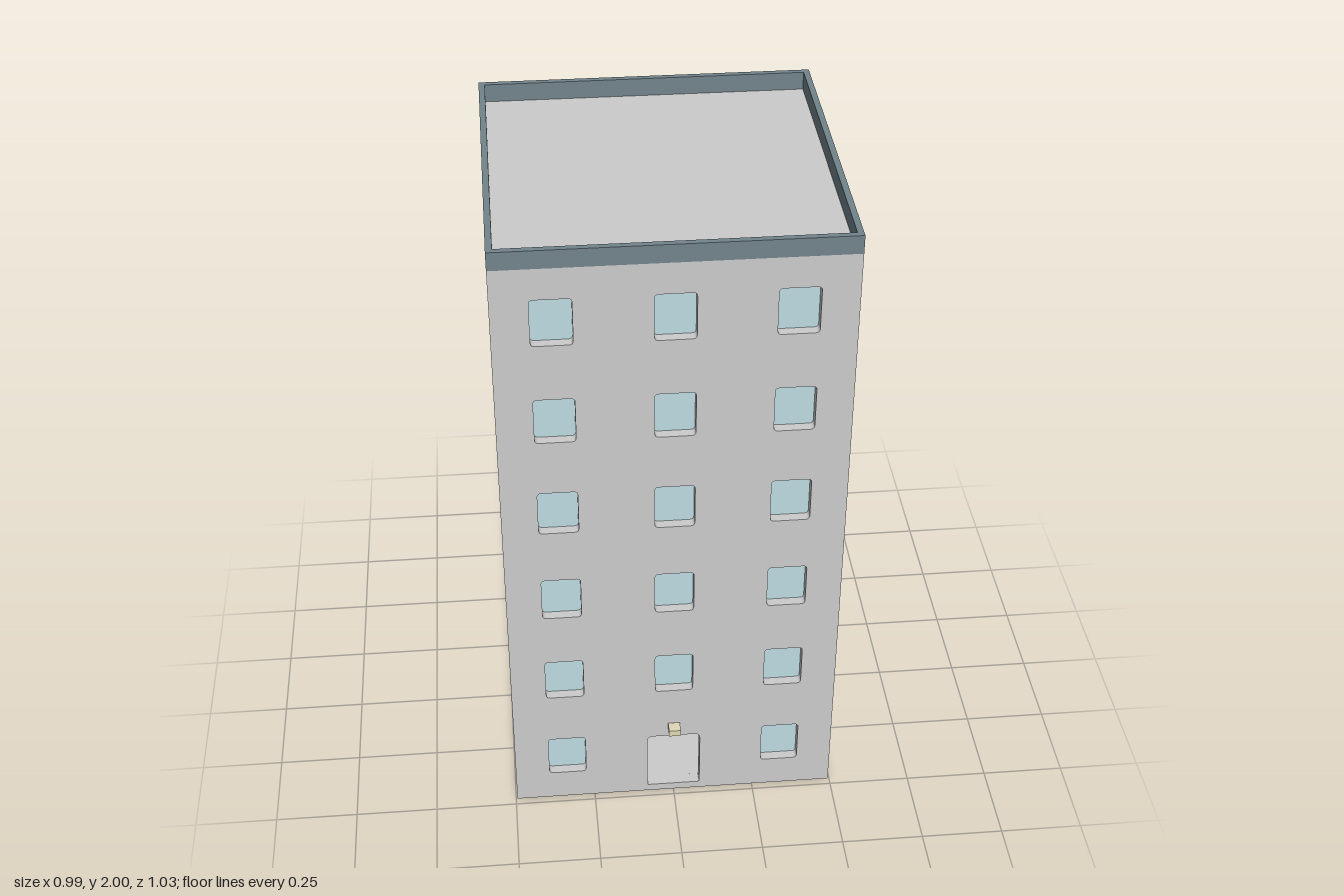
import * as THREE from 'three';

const W = 0.992, D = 0.994, ZC = -0.02;   // footprint and its centre in z
const WALL_TOP = 1.945, TOP = 2, T = 0.035; // heights and wall thickness
const FLOORS = 6, FIRST = 0.177, PITCH = 0.32;
const WIN_W = 0.115, WIN_H = 0.145;

const grey = new THREE.MeshStandardMaterial({ color: 0xcccccc });
const trim = new THREE.MeshStandardMaterial({ color: 0x72848c });
const glass = new THREE.MeshStandardMaterial({ color: 0xbcdbe2 });
const lampMat = new THREE.MeshStandardMaterial({ color: 0xe0d8b8 });

function add(parent, name, geometry, material, x = 0, y = 0, z = 0) {
  const mesh = new THREE.Mesh(geometry, material);
  mesh.name = name;
  mesh.position.set(x, y, z);
  parent.add(mesh);
  return mesh;
}

// Rectangle outline with separate corner radii at the bottom and the top
function roundedRect(PathType, cx, cy, w, h, rb, rt) {
  const x0 = cx - w / 2, x1 = cx + w / 2, y0 = cy - h / 2, y1 = cy + h / 2;
  const p = new PathType();
  p.moveTo(x0 + rb, y0);
  p.lineTo(x1 - rb, y0);
  if (rb) p.quadraticCurveTo(x1, y0, x1, y0 + rb);
  p.lineTo(x1, y1 - rt);
  if (rt) p.quadraticCurveTo(x1, y1, x1 - rt, y1);
  p.lineTo(x0 + rt, y1);
  if (rt) p.quadraticCurveTo(x0, y1, x0, y1 - rt);
  p.lineTo(x0, y0 + rb);
  if (rb) p.quadraticCurveTo(x0, y0, x0 + rb, y0);
  return p;
}

// One facade: outer face at local z = 0, pierced by windows with glass at the inner plane
function makeWall(name, width, columns, hasDoor) {
  const wall = new THREE.Group();
  wall.name = name;
  const shape = new THREE.Shape();
  shape.moveTo(-width / 2, 0);
  shape.lineTo(width / 2, 0);
  shape.lineTo(width / 2, WALL_TOP);
  shape.lineTo(-width / 2, WALL_TOP);
  shape.closePath();

  const pane = new THREE.BoxGeometry(WIN_W, WIN_H, 0.004);
  for (let f = 0; f < FLOORS; f++) {
    columns.forEach((x, c) => {
      if (hasDoor && f === 0 && c === 1) return;
      const y = FIRST + f * PITCH;
      shape.holes.push(roundedRect(THREE.Path, x, y, WIN_W, WIN_H, 0.012, 0.012));
      add(wall, 'windowPane', pane, glass, x, y, -T + 0.003);
    });
  }
  // Open doorway
  if (hasDoor) shape.holes.push(roundedRect(THREE.Path, 0, 0.13, 0.164, 0.21, 0.004, 0.018));

  const geo = new THREE.ExtrudeGeometry(shape, { depth: T, bevelEnabled: false, curveSegments: 4 });
  add(wall, name + 'Panel', geo, grey, 0, 0, -T);
  return wall;
}

export function createModel() {
  const model = new THREE.Group();
  model.name = 'apartmentBlock';

  // Facades
  const cols = [-0.333, 0, 0.333], sideCols = [-0.317, -0.004, 0.304];
  const inner = D - 2 * T;
  const walls = [
    [makeWall('frontWall', W, cols, true), 0, 0, ZC + D / 2],
    [makeWall('backWall', W, cols, false), Math.PI, 0, ZC - D / 2],
    [makeWall('rightWall', inner, sideCols, false), Math.PI / 2, W / 2, ZC],
    [makeWall('leftWall', inner, sideCols.map((u) => -u), false), -Math.PI / 2, -W / 2, ZC],
  ];
  for (const [wall, turn, x, z] of walls) {
    wall.rotation.y = turn;
    wall.position.set(x, 0, z);
    model.add(wall);
  }

  // Floor and roof slabs inside the walls
  const slab = (name, y, h) =>
    add(model, name, new THREE.BoxGeometry(W - 2 * T, h, inner), grey, 0, y + h / 2, ZC);
  slab('groundFloor', 0, 0.025);
  slab('roof', 1.92, WALL_TOP - 1.92);

  // Parapet ring
  const ring = roundedRect(THREE.Shape, 0, 0, W, D, 0, 0);
  ring.holes.push(roundedRect(THREE.Path, 0, 0, W - 0.036, D - 0.036, 0, 0));
  const parapet = new THREE.ExtrudeGeometry(ring, { depth: TOP - WALL_TOP, bevelEnabled: false });
  parapet.rotateX(-Math.PI / 2);
  add(model, 'parapet', parapet, trim, 0, WALL_TOP, ZC);

  // Lamp above the doorway
  add(model, 'doorLamp', new THREE.BoxGeometry(0.036, 0.022, 0.036), lampMat, 0, 0.281, 0.499);

  return model;
}
